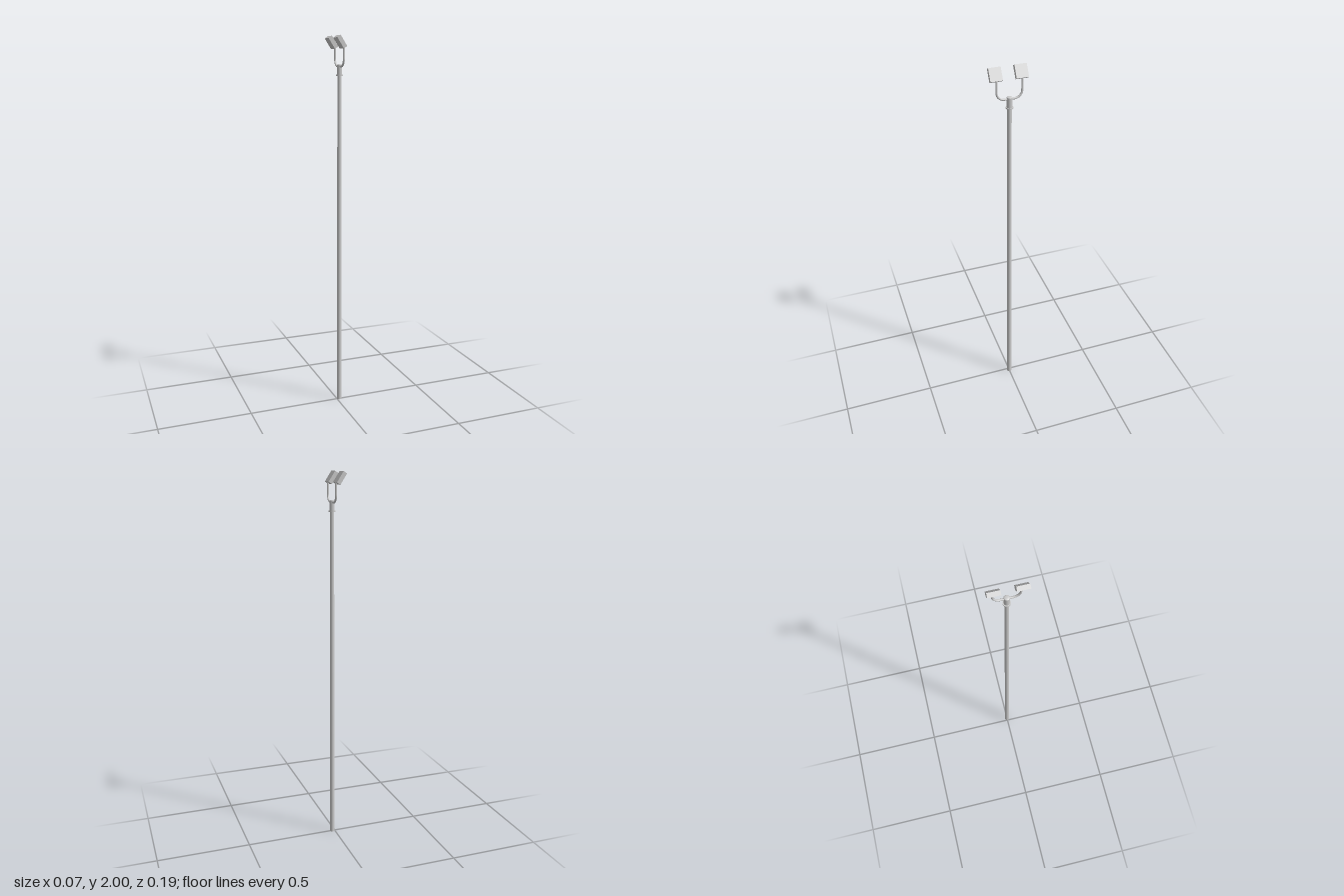
import * as THREE from 'three';

export function createModel() {
  const model = new THREE.Group();
  const material = new THREE.MeshStandardMaterial({ color: 0xcccccc });
  const poleX = 0.0135;

  const add = (name, geometry, x = 0, y = 0, z = 0) => {
    const mesh = new THREE.Mesh(geometry, material);
    mesh.name = name;
    mesh.position.set(x, y, z);
    model.add(mesh);
    return mesh;
  };

  // Slightly tapered pole
  add('pole', new THREE.CylinderGeometry(0.0108, 0.0128, 1.81, 24), poleX, 0.905);

  // Sleeve on the pole top, with a flat dome
  add('sleeve', new THREE.CylinderGeometry(0.0138, 0.0138, 0.055, 24), poleX, 1.8265);
  const dome = new THREE.SphereGeometry(0.0138, 24, 6, 0, Math.PI * 2, 0, Math.PI / 2);
  add('sleeveDome', dome.scale(1, 0.3, 1), poleX, 1.854);

  // Flange at the foot of the sleeve
  add('flange', new THREE.CylinderGeometry(0.0185, 0.0185, 0.006, 24), poleX, 1.802);

  for (const side of [1, -1]) {
    const name = side > 0 ? 'front' : 'rear';

    // Arm: out from the sleeve, then a quarter bend upwards
    const point = (y, z) => new THREE.Vector3(poleX, y, z * side);
    const path = new THREE.CurvePath();
    path.add(new THREE.LineCurve3(point(1.846, 0), point(1.846, 0.024)));
    path.add(new THREE.CubicBezierCurve3(
      point(1.846, 0.024), point(1.846, 0.046), point(1.863, 0.063), point(1.885, 0.063)));
    path.add(new THREE.LineCurve3(point(1.885, 0.063), point(1.945, 0.063)));
    add(name + 'Arm', new THREE.TubeGeometry(path, 40, 0.0052, 12, false));

    // Floodlight, tilted to look down towards -x
    const lamp = add(name + 'Floodlight', new THREE.BoxGeometry(0.0215, 0.0643, 0.06),
      -0.0065, 1.967, 0.063 * side);
    lamp.rotation.z = THREE.MathUtils.degToRad(33);
  }
  return model;
}
